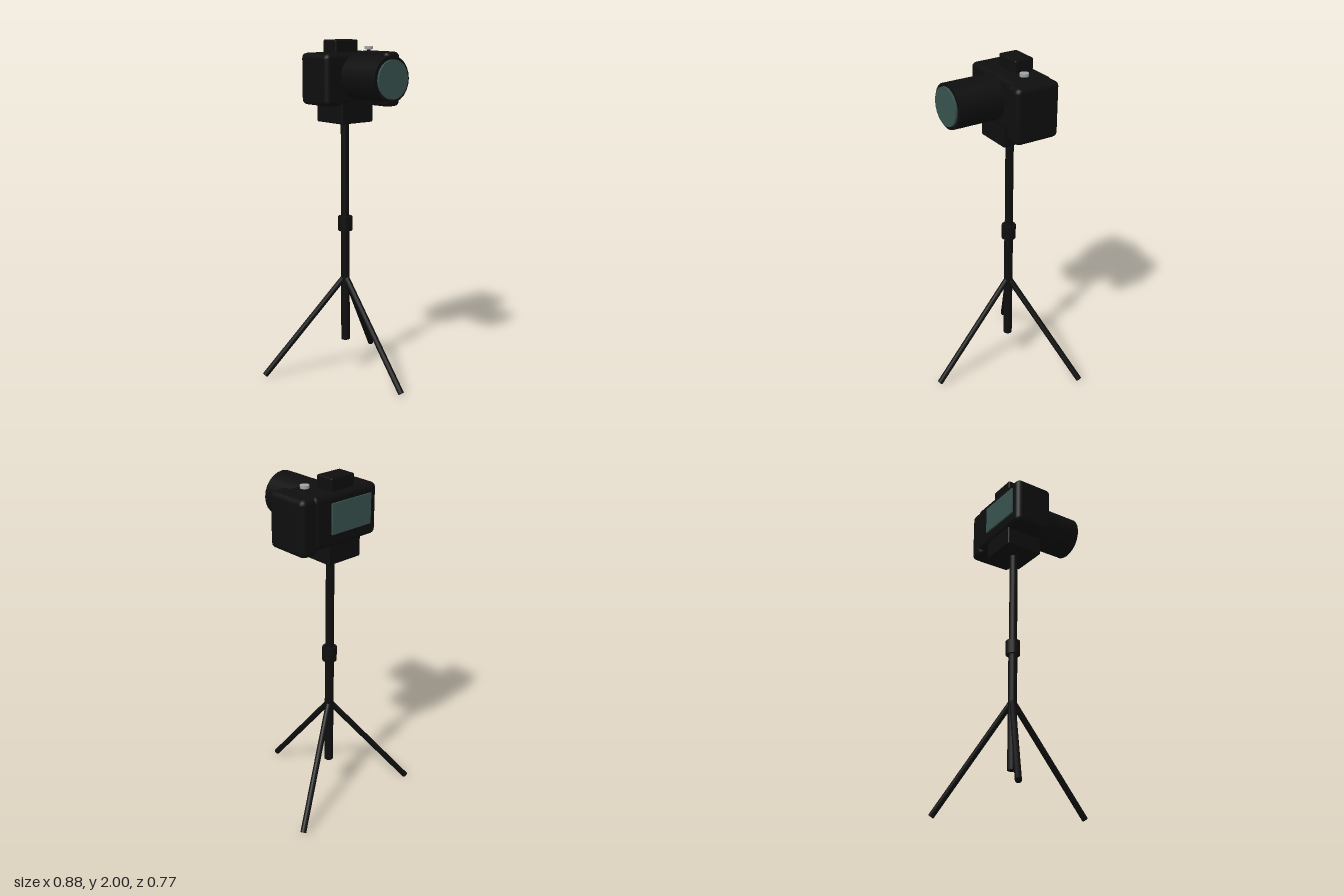
import * as THREE from 'three';
import { RoundedBoxGeometry } from 'three/addons/geometries/RoundedBoxGeometry.js';

export function createModel() {
  const model = new THREE.Group();
  model.name = 'cameraOnTripod';

  const makeMaterial = (name, color) => {
    const m = new THREE.MeshStandardMaterial({ color });
    m.name = name;
    return m;
  };
  const black = makeMaterial('black', 0x0e0e0e);
  const glass = makeMaterial('darkGlass', 0x38524e);
  const silver = makeMaterial('silver', 0xa0a4a4);

  const add = (parent, name, geometry, material) => {
    const mesh = new THREE.Mesh(geometry, material);
    mesh.name = name;
    parent.add(mesh);
    return mesh;
  };

  // Rounded box given by its minimum and maximum corners
  const block = (parent, name, min, max, radius) => {
    const size = max.map((v, i) => v - min[i]);
    const mesh = add(parent, name, new RoundedBoxGeometry(...size, 2, radius), black);
    mesh.position.set(...max.map((v, i) => (v + min[i]) / 2));
  };

  // Cylinder running between two points
  const rod = (parent, name, from, to, radius, sides, material) => {
    const a = new THREE.Vector3(...from);
    const b = new THREE.Vector3(...to);
    const axis = b.clone().sub(a);
    const mesh = add(parent, name, new THREE.CylinderGeometry(radius, radius, axis.length(), sides), material);
    mesh.position.copy(a).add(b).multiplyScalar(0.5);
    mesh.quaternion.setFromUnitVectors(new THREE.Vector3(0, 1, 0), axis.normalize());
  };

  // Camera: body, hand grip, viewfinder and mounting block
  const camera = new THREE.Group();
  camera.name = 'camera';
  model.add(camera);
  block(camera, 'body', [-0.225, 1.64, -0.245], [0.225, 1.93, -0.005], 0.03);
  block(camera, 'grip', [0.188, 1.615, -0.238], [0.3, 1.93, 0.03], 0.03);
  block(camera, 'viewfinder', [-0.082, 1.9, -0.215], [0.082, 2, -0.1], 0.008);
  block(camera, 'mountBlock', [-0.115, 1.535, -0.236], [0.115, 1.66, -0.008], 0.008);

  // Lens barrel with its front glass
  rod(camera, 'lensBarrel', [0, 1.797, -0.03], [0, 1.797, 0.273], 0.127, 24, black);
  rod(camera, 'lensGlass', [0, 1.797, 0.265], [0, 1.797, 0.286], 0.108, 24, glass);

  // Rear screen
  const screen = add(camera, 'screen', new THREE.BoxGeometry(0.28, 0.17, 0.009), glass);
  screen.position.set(-0.032, 1.797, -0.2495);

  // Shutter button
  rod(camera, 'buttonStem', [0.165, 1.92, -0.1], [0.165, 1.945, -0.1], 0.01, 10, black);
  rod(camera, 'shutterButton', [0.165, 1.943, -0.1], [0.165, 1.96, -0.1], 0.025, 16, silver);

  // Tripod: telescopic column with a locking collar
  const tripod = new THREE.Group();
  tripod.name = 'tripod';
  model.add(tripod);
  const z = -0.122;
  rod(tripod, 'upperColumn', [0, 0.93, z], [0, 1.56, z], 0.024, 14, black);
  rod(tripod, 'lowerColumn', [0, 0.21, z], [0, 0.93, z], 0.026, 14, black);
  rod(tripod, 'collar', [0, 0.89, z], [0, 0.975, z], 0.042, 14, black);

  // Three legs, one to the front and two to the back
  for (let i = 0; i < 3; i++) {
    const angle = (i * Math.PI * 2) / 3;
    const foot = [Math.sin(angle) * 0.493, 0.012, z + Math.cos(angle) * 0.493];
    rod(tripod, 'leg', [0, 0.61, z], foot, 0.0175, 12, black);
  }

  return model;
}
